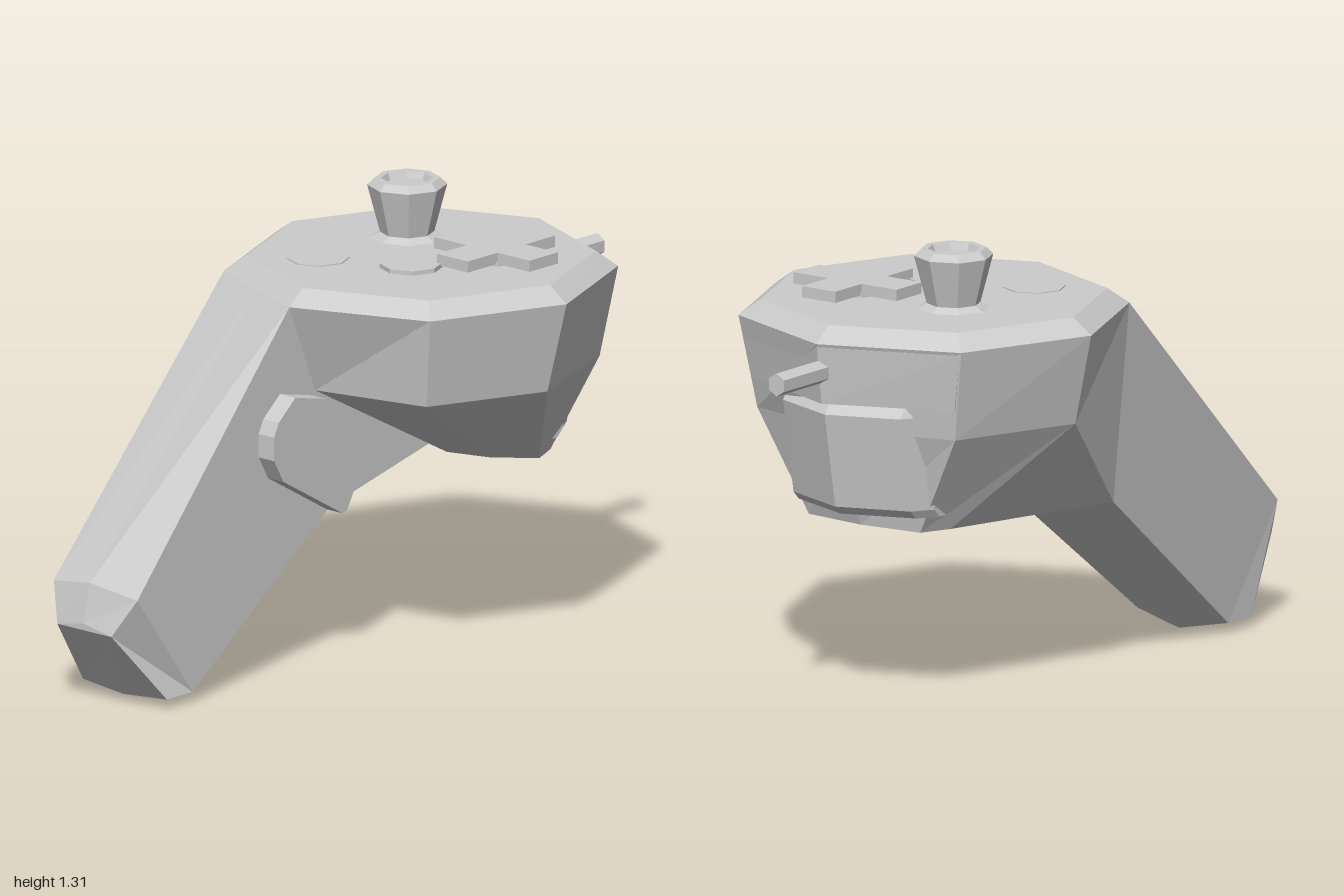
import * as THREE from 'three';

const mat = new THREE.MeshStandardMaterial({ color: 0xcccccc, flatShading: true });
const matDouble = new THREE.MeshStandardMaterial({ color: 0xcccccc, flatShading: true, side: THREE.DoubleSide });

// Closed solid skinned over rings of [x, y, z] points, with fan caps on both ends
function loft(rings) {
  const n = rings[0].length, tris = [];
  for (let r = 0; r < rings.length - 1; r++) {
    for (let i = 0; i < n; i++) {
      const j = (i + 1) % n, a = rings[r], b = rings[r + 1];
      tris.push([a[i], a[j], b[j]], [a[i], b[j], b[i]]);
    }
  }
  const first = rings[0], last = rings[rings.length - 1];
  for (let i = 1; i < n - 1; i++) {
    tris.push([first[0], first[i + 1], first[i]], [last[0], last[i], last[i + 1]]);
  }
  // Turn the faces outwards if the signed volume is negative
  const v = (p) => new THREE.Vector3(...p);
  const volume = tris.reduce((s, [a, b, c]) => s + v(a).dot(v(b).cross(v(c))), 0);
  const points = tris.flatMap((t) => (volume < 0 ? [t[0], t[2], t[1]] : t)).map(v);
  const g = new THREE.BufferGeometry().setFromPoints(points);
  g.computeVertexNormals();
  return g;
}

// Half outline [x, z] from front centre to back centre, mirrored to a full ring at height y
function mirrorRing(y, half) {
  const right = half.map(([x, z]) => [x, y, z]);
  const left = half.filter(([x]) => x > 0).reverse().map(([x, z]) => [-x, y, z]);
  return [...right, ...left];
}

function prism(points, depth) {
  const shape = new THREE.Shape(points.map(([x, y]) => new THREE.Vector2(x, y)));
  return new THREE.ExtrudeGeometry(shape, { depth, bevelEnabled: false });
}

export function createModel() {
  const group = new THREE.Group();
  const add = (name, geometry, x = 0, y = 0, z = 0, material = mat) => {
    const mesh = new THREE.Mesh(geometry, material);
    mesh.name = name;
    mesh.position.set(x, y, z);
    group.add(mesh);
    return mesh;
  };

  // Octagonal head tapering to a small base near the back
  add('head', loft([
    mirrorRing(0.52, [[0, -0.36], [0.13, -0.4], [0.24, -0.49], [0.2, -0.58], [0, -0.6]]),
    mirrorRing(0.82, [[0, 0.2], [0.355, 0.115], [0.5, -0.24], [0.355, -0.62], [0, -0.7]]),
    mirrorRing(1.09, [[0, 0.31], [0.4, 0.15], [0.565, -0.25], [0.4, -0.65], [0, -0.81]]),
    mirrorRing(1.135, [[0, 0.25], [0.355, 0.105], [0.5, -0.25], [0.355, -0.605], [0, -0.75]]),
  ]));

  // Raised band across the back, above the trigger
  add('backPanel', loft([
    mirrorRing(0.91, [[0, -0.5], [0.36, -0.5], [0.365, -0.635], [0, -0.785]]),
    mirrorRing(1.08, [[0, -0.5], [0.36, -0.5], [0.392, -0.65], [0, -0.807]]),
  ]));

  // Slanted grip with a flat inner side on x = 0
  add('grip', loft([
    [[0, 1.0, -0.1], [-0.2, 1.0, -0.1], [-0.5, 0.82, -0.24], [-0.24, 0.52, -0.49], [-0.15, 0.53, -0.4], [0, 0.565, -0.3]],
    [[0, 1.09, 0.31], [-0.2, 1.09, 0.23], [-0.4, 1.09, 0.15], [-0.38, 0.51, 0.1], [-0.17, 0.48, 0.08], [0, 0.46, 0.14]],
    [[0, 0.35, 0.955], [-0.17, 0.375, 0.972], [-0.325, 0.35, 0.955], [-0.325, 0.03, 0.72], [-0.17, 0, 0.69], [0, 0.03, 0.72]],
    [[-0.06, 0.24, 1], [-0.17, 0.26, 1], [-0.27, 0.24, 1], [-0.325, 0.03, 0.83], [-0.17, 0.015, 0.83], [0, 0.03, 0.83]],
  ]));

  // Thumb rest on the flat side of the grip, outlined as [z, y]
  const rest = prism([
    [0.35, 0.84], [0.42, 0.78], [0.44, 0.74], [0.44, 0.67], [0.4, 0.6],
    [0.15, 0.455], [0.13, 0.46], [0, 0.69], [0.22, 0.81],
  ].map(([z, y]) => [-z, y]), 0.08);
  add('gripRest', rest, -0.02).rotation.y = Math.PI / 2;

  // Creased trigger under the back panel
  const triggerRing = (y, front) => mirrorRing(y, [
    [0, -0.5], [0.25, -0.5], [0.25, front + 0.14], [0.21, front + 0.08], [0, front],
  ]);
  add('trigger', loft([
    triggerRing(0.57, -0.695), triggerRing(0.595, -0.72),
    triggerRing(0.875, -0.77), triggerRing(0.905, -0.745),
  ]));

  // Cable stub
  const cable = new THREE.CylinderGeometry(0.034, 0.034, 0.35, 6);
  cable.rotateX(Math.PI / 2);
  cable.scale(0.92, 1, 1);
  add('cable', cable, 0, 1.005, -0.825);

  // Thumbstick with flared collar and hollowed cap
  const stick = [[0.115, 1.13], [0.078, 1.15], [0.115, 1.29], [0.095, 1.31], [0.075, 1.31], [0.065, 1.29], [0, 1.29]];
  add('thumbstick', new THREE.LatheGeometry(stick.map(([x, y]) => new THREE.Vector2(x, y)), 8),
    -0.15, 0, -0.355, matDouble);

  // Cross-shaped pad on a round base
  const a = 0.06, b = 0.185;
  const cross = prism([
    [a, a], [a, b], [-a, b], [-a, a], [-b, a], [-b, -a],
    [-a, -a], [-a, -b], [a, -b], [a, -a], [b, -a], [b, a],
  ], 0.033);
  cross.rotateX(-Math.PI / 2);
  add('directionPad', cross, 0.195, 1.142, -0.355);
  add('directionPadBase', new THREE.CylinderGeometry(0.09, 0.09, 0.03, 8), 0.195, 1.135, -0.355);

  // Round buttons
  add('buttonRaised', new THREE.CylinderGeometry(0.09, 0.09, 0.03, 8), 0.08, 1.133, -0.12);
  add('buttonFlush', new THREE.CylinderGeometry(0.09, 0.09, 0.03, 8), -0.18, 1.123, -0.01);

  return group;
}
